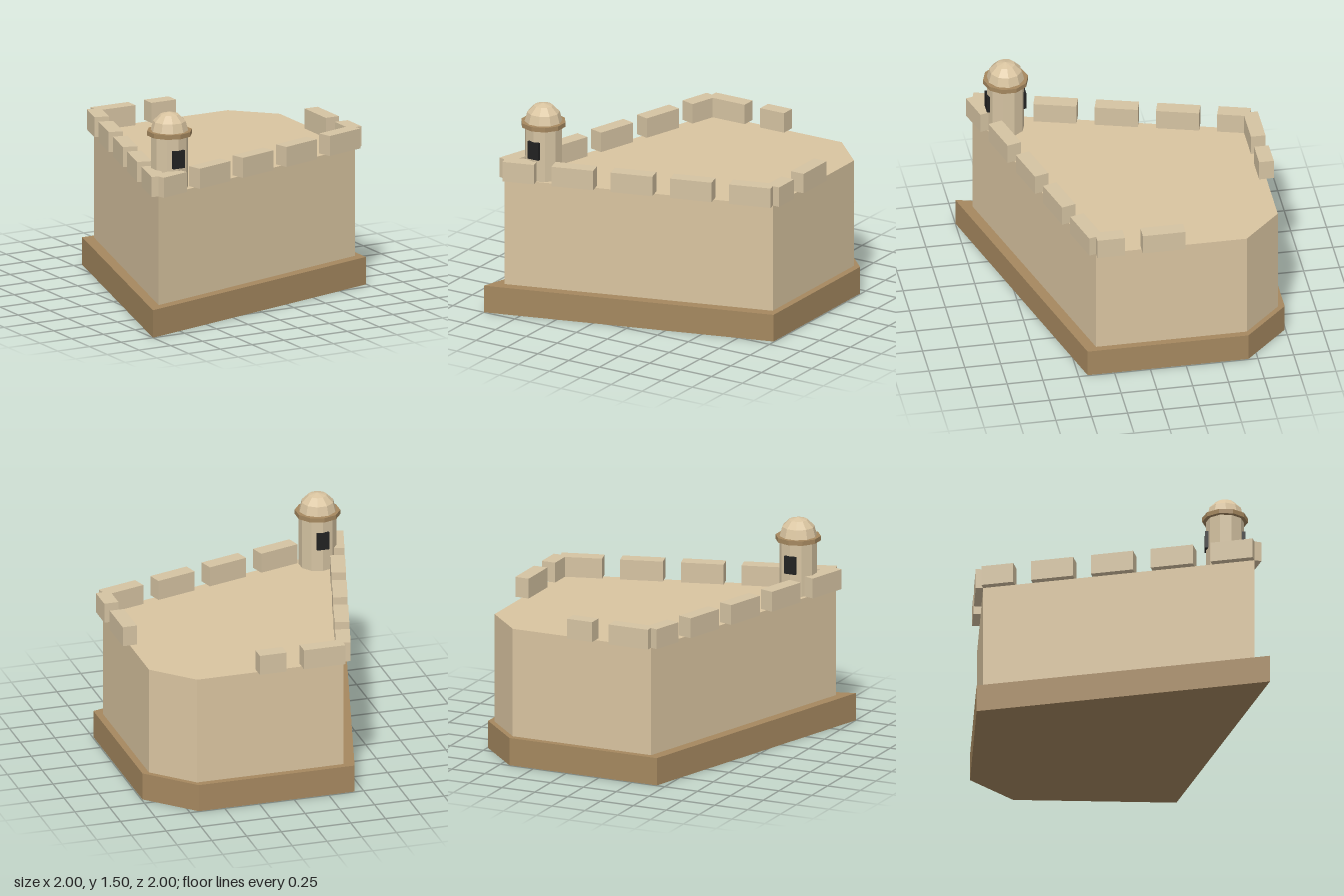
import * as THREE from 'three';

function flat(name, color) {
  const material = new THREE.MeshStandardMaterial({ color, flatShading: true });
  material.name = name;
  return material;
}
const stone = flat('sandstone', 0xd9c4a0);
const paleStone = flat('paleSandstone', 0xd5c3a2);
const trim = flat('brownStone', 0xa5885f);
const dark = flat('darkOpening', 0x222222);

const BASE_TOP = 0.195;
const WALL_TOP = 0.965;

function addMesh(parent, name, geometry, material, x = 0, y = 0, z = 0) {
  const mesh = new THREE.Mesh(geometry, material);
  mesh.name = name;
  mesh.position.set(x, y, z);
  parent.add(mesh);
  return mesh;
}

// Upright prism over a plan outline given as [x, z] corners
function prism(corners, height) {
  const shape = new THREE.Shape(corners.map(([x, z]) => new THREE.Vector2(x, -z)));
  return new THREE.ExtrudeGeometry(shape, { depth: height, bevelEnabled: false }).rotateX(-Math.PI / 2);
}

// Merlons stepped along one wall line; the last one is cut short at the end
function addMerlons(parent, [x0, z0], [x1, z1]) {
  const length = Math.hypot(x1 - x0, z1 - z0);
  const dx = (x1 - x0) / length, dz = (z1 - z0) / length;
  for (let s = 0; s < length - 0.02; s += 0.423) {
    const size = Math.min(0.298, length - s);
    const mid = s + size / 2;
    const merlon = addMesh(parent, 'merlon', new THREE.BoxGeometry(size, 0.142, 0.102), paleStone,
      x0 + dx * mid, WALL_TOP + 0.071, z0 + dz * mid);
    merlon.rotation.y = Math.atan2(-dz, dx);
  }
}

export function createModel() {
  const group = new THREE.Group();
  group.name = 'bastion';

  // Plinth and main wall block
  const plinth = [[-1, 1], [0.994, 0.437], [0.994, -0.685], [0.685, -0.994], [-0.437, -0.994]];
  const wall = [[-0.897, 0.897], [0.946, 0.37], [0.946, -0.682], [0.682, -0.946], [-0.37, -0.946]];
  addMesh(group, 'plinth', prism(plinth, BASE_TOP), trim);
  addMesh(group, 'wallBlock', prism(wall, WALL_TOP - BASE_TOP), stone, 0, BASE_TOP, 0);

  // Battlements
  const battlements = new THREE.Group();
  battlements.name = 'battlements';
  group.add(battlements);
  addMerlons(battlements, [0.946, -0.246], wall[1]);
  addMerlons(battlements, wall[1], wall[0]);
  addMerlons(battlements, wall[0], wall[4]);
  addMerlons(battlements, wall[4], [0.246, -0.946]);

  // Domed watch turret at the sharp corner
  const turret = new THREE.Group();
  turret.name = 'turret';
  turret.position.set(-0.703, WALL_TOP, 0.703);
  group.add(turret);
  addMesh(turret, 'turretBody', new THREE.CylinderGeometry(0.13, 0.13, 0.38, 10), paleStone, 0, 0.19, 0);
  addMesh(turret, 'turretCornice', new THREE.CylinderGeometry(0.157, 0.157, 0.032, 10), trim, 0, 0.389, 0);
  addMesh(turret, 'turretDome',
    new THREE.SphereGeometry(0.13, 10, 3, 0, Math.PI * 2, 0, Math.PI / 2), stone, 0, 0.405, 0);
  for (const side of [1, -1]) {
    addMesh(turret, 'turretWindow', new THREE.BoxGeometry(0.088, 0.125, 0.022), dark, 0, 0.223, side * 0.127);
  }
  return group;
}
